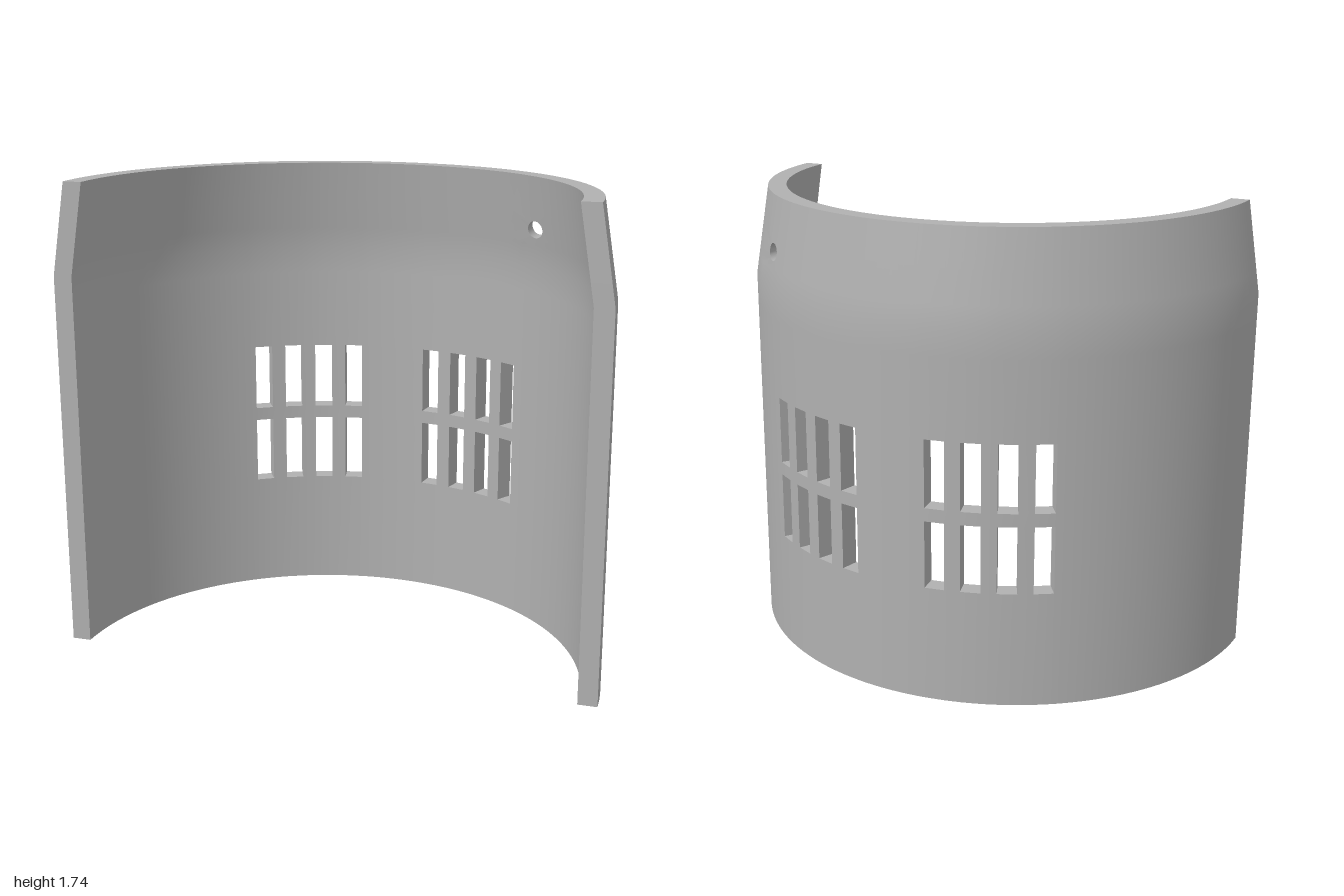
import * as THREE from 'three';
import { toCreasedNormals } from 'three/addons/utils/BufferGeometryUtils.js';

const HEIGHT = 1.74, TAPER_Y = 1.4, TAPER = 0.055;
const OUTER = 1, INNER = 0.93, AXIS_Z = 0.5;
// vent slots: angles in degrees from the back, mirrored left and right
const SLOTS = [7.9, 15.4, 22.9, 30.4].map(a => [a, a + 4.2]);
const SLOT_ROWS = [[0.44, 0.695], [0.745, 1]];
// round hole drilled along z, and the patch of wall around it
const HOLE = { x: 0.612, y: 1.54, r: 0.032 };
const PATCH = { a0: 35, a1: 48, y0: 1.48, y1: 1.6, n: 6 };

const radius = (base, y) => base - TAPER * Math.max(0, (y - TAPER_Y) / (HEIGHT - TAPER_Y));

// point on the outer or inner wall at an angle (degrees) and height
function wallPoint(base, deg, y) {
  const r = radius(base, y), t = THREE.MathUtils.degToRad(deg);
  return [r * Math.sin(t), y, AXIS_Z - r * Math.cos(t)];
}

// grid lines, including the edges of all openings
function gridLines() {
  const fixed = [-90, 90];
  for (const [a, b] of SLOTS) fixed.push(a, b, -a, -b);
  const ys = [0, ...SLOT_ROWS.flat(), 1.3, TAPER_Y, HEIGHT];
  for (let i = 0; i <= PATCH.n; i++) {
    fixed.push(PATCH.a0 + (PATCH.a1 - PATCH.a0) * i / PATCH.n);
    ys.push(PATCH.y0 + (PATCH.y1 - PATCH.y0) * i / PATCH.n);
  }
  const angles = [...fixed];
  for (let a = -87; a < 90; a += 3) {
    if (fixed.every(f => Math.abs(f - a) > 1.2)) angles.push(a);
  }
  const up = (a, b) => a - b;
  return [angles.sort(up), ys.sort(up)];
}

function shellGeometry() {
  const pos = [];
  const quad = (a, b, c, d) => pos.push(...a, ...b, ...c, ...a, ...c, ...d);
  const [angles, ys] = gridLines();

  const centre = (i, j) => [(angles[i] + angles[i + 1]) / 2, (ys[j] + ys[j + 1]) / 2];
  const solid = (i, j) => {
    if (i < 0 || j < 0 || i >= angles.length - 1 || j >= ys.length - 1) return false;
    const [a, y] = centre(i, j);
    return !(SLOTS.some(s => Math.abs(a) > s[0] && Math.abs(a) < s[1]) &&
      SLOT_ROWS.some(s => y > s[0] && y < s[1]));
  };
  const inPatch = (i, j) => {
    const [a, y] = centre(i, j);
    return a > PATCH.a0 && a < PATCH.a1 && y > PATCH.y0 && y < PATCH.y1;
  };

  // curved walls, with side faces wherever a neighbouring cell is open
  for (let i = 0; i < angles.length - 1; i++) {
    for (let j = 0; j < ys.length - 1; j++) {
      if (!solid(i, j) || inPatch(i, j)) continue;
      const corners = [[i + 1, j], [i, j], [i, j + 1], [i + 1, j + 1]];
      const o = corners.map(([a, y]) => wallPoint(OUTER, angles[a], ys[y]));
      const n = corners.map(([a, y]) => wallPoint(INNER, angles[a], ys[y]));
      quad(...o);
      quad(n[3], n[2], n[1], n[0]);
      [[0, -1], [-1, 0], [0, 1], [1, 0]].forEach(([di, dj], k) => {
        const m = (k + 1) % 4;
        if (!solid(i + di, j + dj)) quad(o[m], o[k], n[k], n[m]);
      });
    }
  }

  // ring of wall around the round hole
  const { a0, a1, y0, y1, n } = PATCH;
  const sides = [[a1, y0], [a0, y0], [a0, y1], [a1, y1]];
  const rim = (base, k) => {
    const s = Math.floor(k / n) % 4, t = (k % n) / n, p = sides[s], q = sides[(s + 1) % 4];
    return wallPoint(base, p[0] + (q[0] - p[0]) * t, p[1] + (q[1] - p[1]) * t);
  };
  const bore = (base, k) => {
    const a = -0.75 * Math.PI + (k % (4 * n)) * Math.PI / (2 * n);
    const x = HOLE.x - HOLE.r * Math.cos(a), y = HOLE.y + HOLE.r * Math.sin(a);
    return wallPoint(base, THREE.MathUtils.radToDeg(Math.asin(x / radius(base, y))), y);
  };
  for (let k = 0; k < 4 * n; k++) {
    quad(rim(OUTER, k), rim(OUTER, k + 1), bore(OUTER, k + 1), bore(OUTER, k));
    quad(bore(INNER, k), bore(INNER, k + 1), rim(INNER, k + 1), rim(INNER, k));
    quad(bore(OUTER, k), bore(OUTER, k + 1), bore(INNER, k + 1), bore(INNER, k));
  }

  const geometry = new THREE.BufferGeometry();
  geometry.setAttribute('position', new THREE.Float32BufferAttribute(pos, 3));
  return toCreasedNormals(geometry, 0.6);
}

export function createModel() {
  const grey = new THREE.MeshStandardMaterial({ color: 0xb0b0b0 });
  grey.name = 'grey';
  const shell = new THREE.Mesh(shellGeometry(), grey);
  shell.name = 'ventedHalfShell';
  const group = new THREE.Group();
  group.name = 'ventedCover';
  group.add(shell);
  return group;
}
